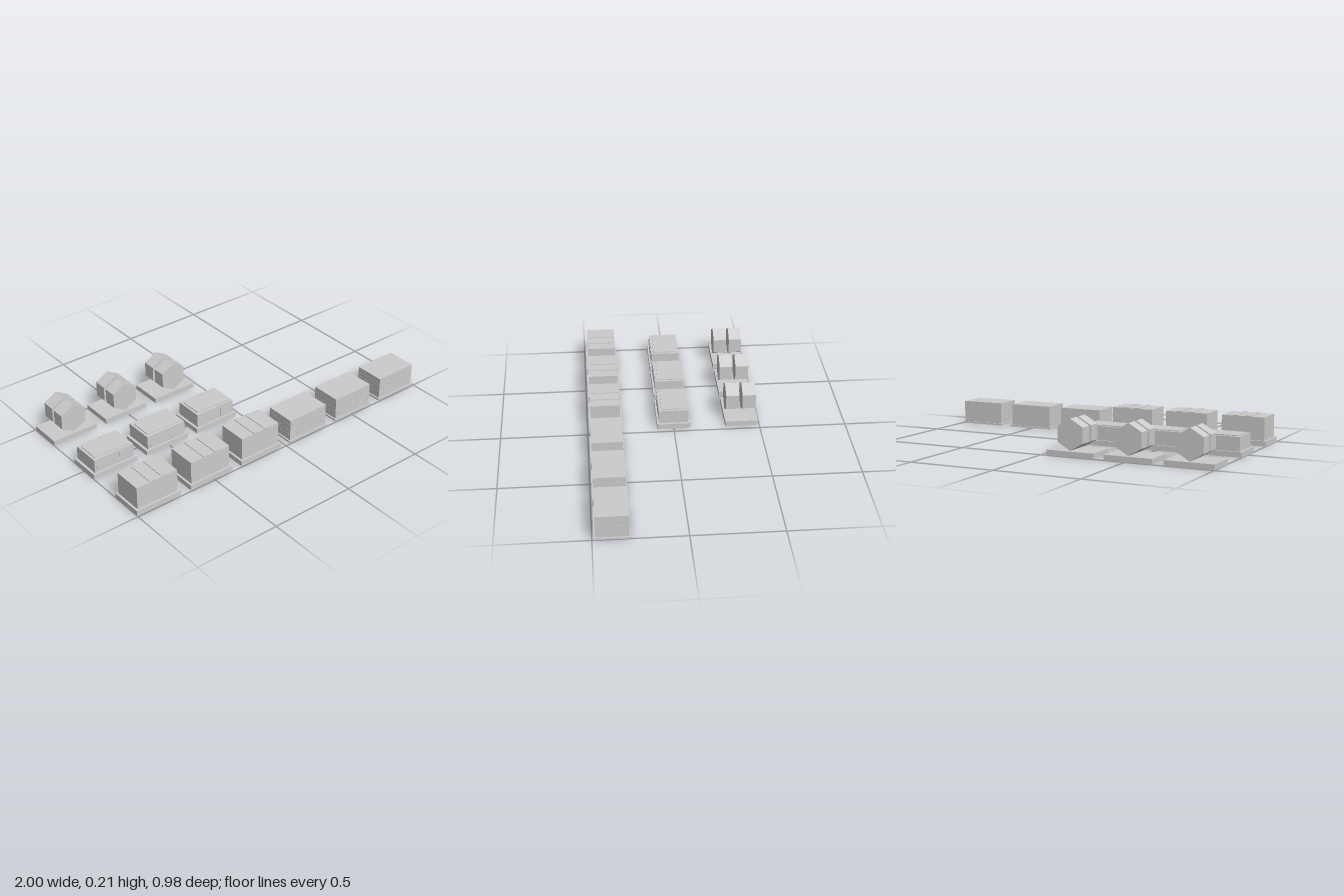
import * as THREE from 'three';

export function createModel() {
  const model = new THREE.Group();
  const grey = new THREE.MeshStandardMaterial({ color: 0xcccccc });
  grey.name = 'concrete grey';

  // Box standing on y0, centred on x and z
  const box = (parent, name, w, h, d, x, y0, z) => {
    const mesh = new THREE.Mesh(new THREE.BoxGeometry(w, h, d), grey);
    mesh.name = name;
    mesh.position.set(x, y0 + h / 2, z);
    parent.add(mesh);
    return mesh;
  };
  const lot = (name, x, z, baseHeight) => {
    const g = new THREE.Group();
    g.name = name;
    g.position.set(x, 0, z);
    box(g, 'base', 0.28, baseHeight, 0.192, 0, 0, 0);
    model.add(g);
    return g;
  };

  // Hexagonal prism lying along z, resting on one edge
  const R = 0.0875;
  const hexagon = new THREE.Shape(Array.from({ length: 6 }, (_, i) => {
    const a = Math.PI / 2 + i * Math.PI / 3;
    return new THREE.Vector2(R * Math.cos(a), R * Math.sin(a));
  }));
  const hexGeometry = new THREE.ExtrudeGeometry(hexagon, { depth: 0.078, bevelEnabled: false });

  const columns = [-0.86, -0.515, -0.172];
  for (const x of columns) {
    // Twin hexagonal halls
    const halls = lot('hexagonHalls', x, -0.397, 0.03);
    for (const z of [-0.088, 0.008]) {
      const hall = new THREE.Mesh(hexGeometry, grey);
      hall.name = 'hexagonHall';
      hall.position.set(0, 0.12, z);
      halls.add(hall);
    }

    // Low block with stepped roof and wall panels
    const low = lot('lowBlock', x, 0, 0.03);
    box(low, 'walls', 0.25, 0.08, 0.17, 0, 0.03, 0);
    box(low, 'roofLeft', 0.13, 0.005, 0.13, -0.045, 0.11, 0);
    box(low, 'roofRight', 0.09, 0.005, 0.142, 0.065, 0.11, 0);
    for (const side of [-1, 1]) {
      box(low, 'wallPanel', 0.13, 0.05, 0.004, -0.045, 0.04, side * 0.085);
      box(low, 'wallPanel', 0.075, 0.05, 0.004, 0.073, 0.04, side * 0.085);
    }

    // Tall block with ribbed roof
    const tall = lot('tallBlock', x, 0.395, 0.03);
    box(tall, 'walls', 0.255, 0.133, 0.17, 0, 0.03, 0);
    for (const rx of [-0.03, 0.045]) box(tall, 'roofRib', 0.03, 0.004, 0.168, rx, 0.163, 0);
  }

  // Office blocks with rows of windows on all four sides
  for (const x of [0.173, 0.515, 0.86]) {
    const office = lot('officeBlock', x, 0.395, 0.01);
    box(office, 'walls', 0.262, 0.128, 0.176, 0, 0.01, 0);
    for (const y of [0.04, 0.072, 0.104]) {
      for (const side of [-1, 1]) {
        for (let i = 0; i < 7; i++)
          box(office, 'window', 0.02, 0.006, 0.002, (i - 3) * 0.036, y, side * 0.088);
        for (let i = 0; i < 5; i++)
          box(office, 'window', 0.002, 0.006, 0.018, side * 0.131, y, (i - 2) * 0.034);
      }
    }
  }
  return model;
}
